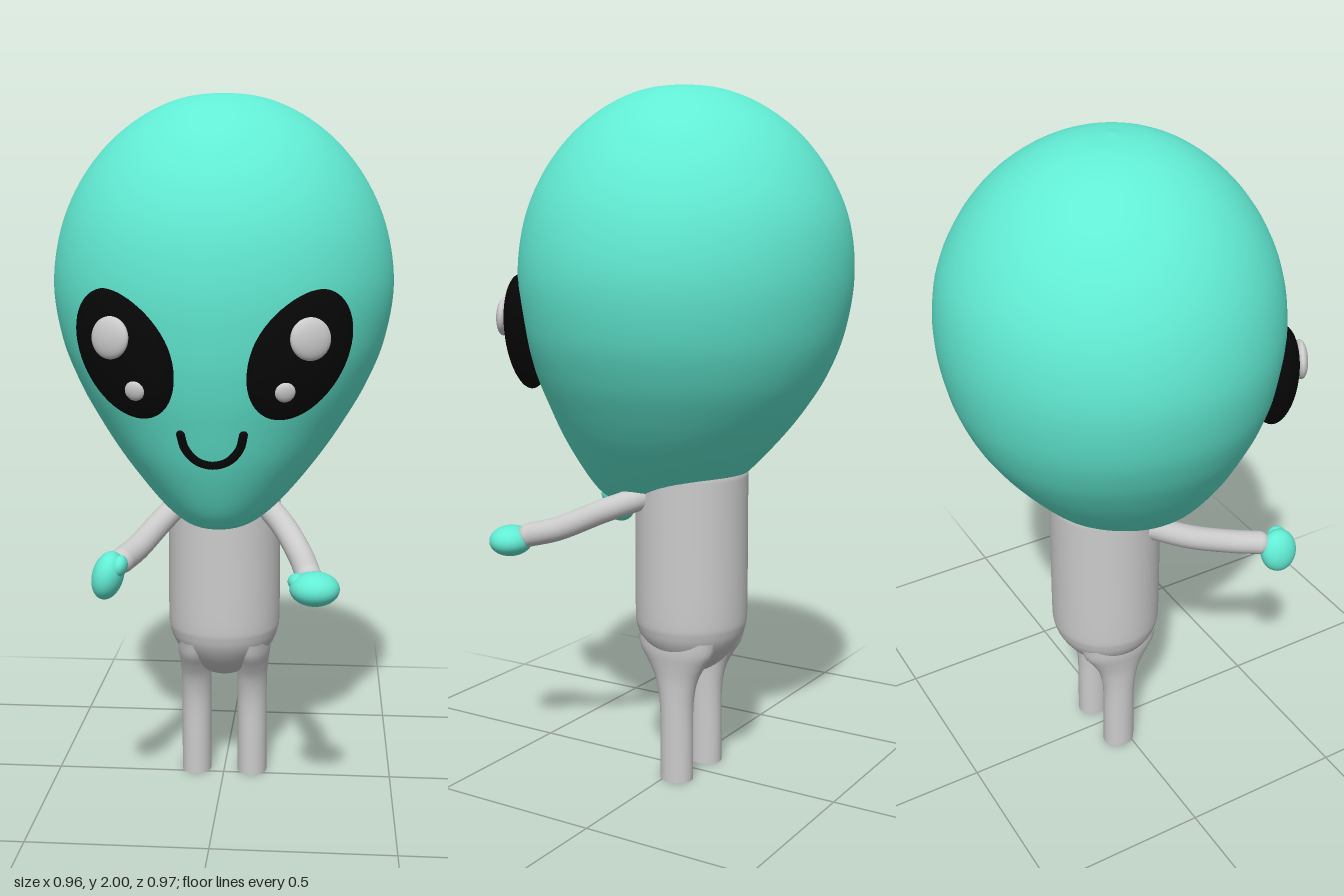
import * as THREE from 'three';

const grey = new THREE.MeshStandardMaterial({ color: 0xcccccc });
const skin = new THREE.MeshStandardMaterial({ color: 0x62ecd4 });
const black = new THREE.MeshStandardMaterial({ color: 0x060606 });
const V = (x, y, z) => new THREE.Vector3(x, y, z);

// Smooth loft through elliptical rows [y, centreX, radiusX, frontZ, backZ], bottom to top
function loft(rows, steps, sides) {
  const sizes = new THREE.CatmullRomCurve3(rows.map(r => V(r[1], r[0], r[2])), false, 'catmullrom', 0.5);
  const depths = new THREE.CatmullRomCurve3(rows.map(r => V(r[3], r[0], r[4])), false, 'catmullrom', 0.5);
  const geo = new THREE.CylinderGeometry(1, 1, 1, sides, steps, true);
  const pos = geo.attributes.position;
  for (let i = 0; i < pos.count; i++) {
    const t = THREE.MathUtils.clamp(pos.getY(i) + 0.5, 0, 1);
    const s = sizes.getPoint(t), d = depths.getPoint(t);
    const rz = (d.x - d.z) / 2;
    pos.setXYZ(i, s.x + pos.getX(i) * Math.max(s.z, 0), s.y, (d.x + d.z) / 2 + pos.getZ(i) * rz);
  }
  geo.computeVertexNormals();
  // share normals across the seam
  const n = geo.attributes.normal;
  for (let j = 0; j <= steps; j++) {
    const a = j * (sides + 1), b = a + sides;
    const m = V(n.getX(a) + n.getX(b), n.getY(a) + n.getY(b), n.getZ(a) + n.getZ(b)).normalize();
    n.setXYZ(a, m.x, m.y, m.z);
    n.setXYZ(b, m.x, m.y, m.z);
  }
  return geo;
}

export function createModel() {
  const model = new THREE.Group();
  const add = (name, geo, mat, parent = model) => {
    const mesh = new THREE.Mesh(geo, mat);
    mesh.name = name;
    parent.add(mesh);
    return mesh;
  };
  const ellipsoid = (name, mat, centre, radii, rot = [0, 0, 0]) => {
    const mesh = add(name, new THREE.SphereGeometry(1, 40, 28), mat);
    mesh.position.set(...centre);
    mesh.scale.set(...radii);
    mesh.rotation.set(...rot, 'YXZ');
    return mesh;
  };

  // Egg-shaped head, chin pushed forward
  add('head', loft([
    [0.80, 0, 0, 0.17, 0.17],
    [0.81, 0, 0.075, 0.235, 0.06],
    [0.84, 0, 0.135, 0.275, -0.07],
    [0.90, 0, 0.20, 0.315, -0.18],
    [1.00, 0, 0.283, 0.363, -0.28],
    [1.10, 0, 0.352, 0.398, -0.36],
    [1.20, 0, 0.41, 0.428, -0.42],
    [1.32, 0, 0.458, 0.452, -0.464],
    [1.47, 0, 0.482, 0.463, -0.486],
    [1.62, 0, 0.462, 0.445, -0.472],
    [1.75, 0, 0.408, 0.393, -0.418],
    [1.86, 0, 0.325, 0.312, -0.335],
    [1.94, 0, 0.222, 0.213, -0.23],
    [1.985, 0, 0.115, 0.11, -0.12],
    [2.0, 0, 0, -0.005, -0.005],
  ], 84, 64), skin);

  // Torso with a rounded bottom, running up into the head
  const torsoProfile = new THREE.SplineCurve([
    [0, 0.31], [0.04, 0.315], [0.08, 0.337], [0.115, 0.37], [0.145, 0.412],
    [0.16, 0.45], [0.165, 0.5], [0.165, 0.7], [0.165, 0.93],
  ].map(p => new THREE.Vector2(...p))).getPoints(40);
  torsoProfile.push(new THREE.Vector2(0, 0.93));
  add('torso', new THREE.LatheGeometry(torsoProfile, 48), grey).position.z = -0.03;

  for (const s of [1, -1]) {
    const side = s > 0 ? 'left' : 'right';

    // Leg, flaring front to back where it joins the torso
    const c = -0.03;
    const legRows = [
      [0, 0.044, 0.05], [0.1, 0.044, 0.05], [0.2, 0.044, 0.05], [0.26, 0.044, 0.056],
      [0.31, 0.045, 0.07], [0.35, 0.049, 0.092], [0.39, 0.054, 0.118], [0.43, 0.054, 0.13],
    ].map(([y, rx, rz]) => [y, s * 0.084, rx, c + rz, c - rz]);
    add(side + 'Leg', loft(legRows, 32, 28), grey);
    const sole = add(side + 'Sole', new THREE.CircleGeometry(1, 28), grey);
    sole.scale.set(0.044, 0.05, 1);
    sole.rotation.x = Math.PI / 2;
    sole.position.set(s * 0.084, 0.0005, c);

    // Tilted almond eye with two highlights
    const yaw = s * 0.49;
    ellipsoid(side + 'Eye', black, [s * 0.228, 1.31, 0.386], [0.127, 0.185, 0.06], [0.04, yaw, -s * 0.61]);
    ellipsoid(side + 'EyeLargeHighlight', grey, [s * 0.255, 1.355, 0.448], [0.057, 0.055, 0.02], [-0.05, yaw, 0]);
    ellipsoid(side + 'EyeSmallHighlight', grey, [s * 0.192, 1.22, 0.455], [0.027, 0.026, 0.012], [0.2, yaw * 0.6, 0]);
  }

  // Smile
  const smile = new THREE.CatmullRomCurve3([
    V(-0.082, 1.098, 0.386), V(-0.072, 1.06, 0.377), V(-0.042, 1.026, 0.369), V(0, 1.014, 0.367),
    V(0.042, 1.026, 0.369), V(0.072, 1.06, 0.377), V(0.082, 1.098, 0.386),
  ]);
  add('smile', new THREE.TubeGeometry(smile, 40, 0.012, 12), black);
  for (const s of [1, -1]) ellipsoid('smileEnd', black, [s * 0.082, 1.098, 0.386], [0.012, 0.012, 0.012]);

  // Arms reach forward, each with its own hand pose
  const arm = (side, points) => {
    add(side + 'Arm', new THREE.TubeGeometry(new THREE.CatmullRomCurve3(points), 28, 0.035, 20), grey);
    for (const p of [points[0], points[points.length - 1]])
      ellipsoid(side + 'ArmEnd', grey, p.toArray(), [0.035, 0.035, 0.035]);
  };
  arm('left', [V(0.125, 0.845, 0.05), V(0.185, 0.80, 0.16), V(0.235, 0.745, 0.28), V(0.255, 0.72, 0.37)]);
  ellipsoid('leftHand', skin, [0.272, 0.70, 0.425], [0.066, 0.045, 0.062]);
  ellipsoid('leftThumb', skin, [0.228, 0.715, 0.415], [0.026, 0.022, 0.036], [0, 0.3, 0]);
  arm('right', [V(-0.125, 0.845, 0.05), V(-0.175, 0.80, 0.16), V(-0.215, 0.765, 0.28), V(-0.245, 0.75, 0.36)]);
  ellipsoid('rightHand', skin, [-0.275, 0.722, 0.413], [0.042, 0.066, 0.058], [0, 0, -0.25]);
  ellipsoid('rightThumb', skin, [-0.243, 0.75, 0.425], [0.022, 0.03, 0.032], [0, 0, -0.3]);

  return model;
}
